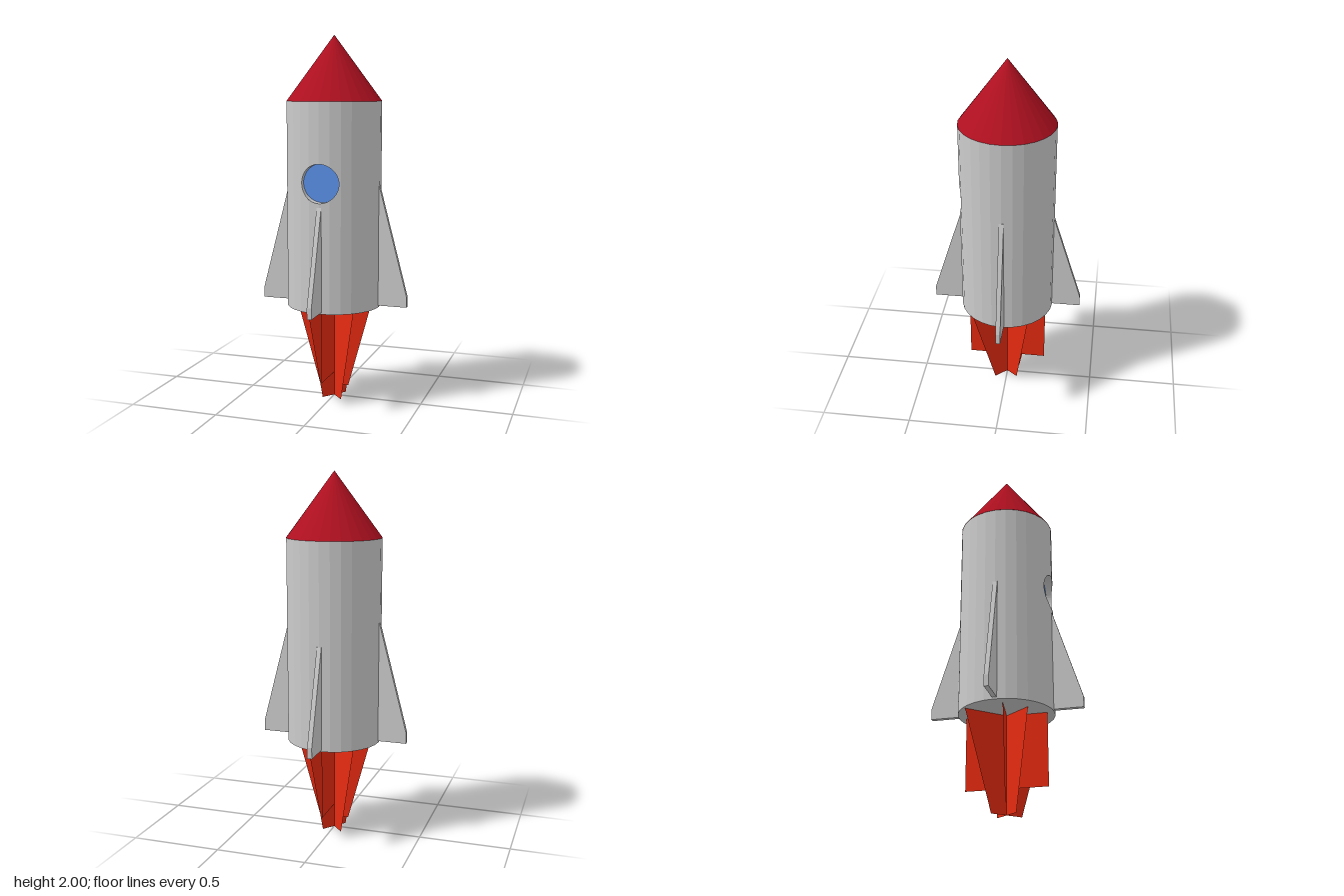
import * as THREE from 'three';

const R = 0.258, BOTTOM = 0.53, TOP = 1.65, SIDES = 28;
const STEP = (Math.PI * 2) / SIDES;
const HOLE_Y = 1.225, HOLE_R = 0.103, GLASS_Z = 0.206;

const paint = (color, side = THREE.FrontSide) =>
  new THREE.MeshStandardMaterial({ color, side, flatShading: true });

function add(parent, name, geometry, material) {
  const mesh = new THREE.Mesh(geometry, material);
  mesh.name = name;
  parent.add(mesh);
  return mesh;
}

// Depth of the faceted hull's front at a given x
function hullZ(x) {
  const k = Math.min(Math.floor(Math.asin(Math.abs(x) / R) / STEP + 1e-6), SIDES / 4 - 1);
  const x0 = R * Math.sin(k * STEP), x1 = R * Math.sin((k + 1) * STEP);
  const z0 = R * Math.cos(k * STEP), z1 = R * Math.cos((k + 1) * STEP);
  return z0 + ((z1 - z0) * (Math.abs(x) - x0)) / (x1 - x0);
}

// Flat quads, corners given counter-clockwise
function quadGeometry(quads) {
  const p = [];
  for (const [a, b, c, d] of quads) p.push(...a, ...b, ...c, ...a, ...c, ...d);
  const g = new THREE.BufferGeometry();
  g.setAttribute('position', new THREE.Float32BufferAttribute(p, 3));
  g.computeVertexNormals();
  return g;
}

// Front four facets of the hull in columns, split above and below the round opening
function frontPanel() {
  const xs = [];
  for (let i = -2; i <= 2; i++) xs.push(R * Math.sin(i * STEP));
  for (let i = 0; i <= 24; i++) xs.push(-HOLE_R * Math.cos((i / 24) * Math.PI));
  xs.sort((a, b) => a - b);
  const h = (x) => Math.sqrt(Math.max(0, HOLE_R ** 2 - x * x));
  const quads = [];
  for (let i = 0; i < xs.length - 1; i++) {
    const a = xs[i], b = xs[i + 1];
    if (b - a < 1e-6) continue;
    const at = (x, y) => [x, y, hullZ(x)];
    quads.push([at(a, BOTTOM), at(b, BOTTOM), at(b, HOLE_Y - h(b)), at(a, HOLE_Y - h(a))]);
    quads.push([at(a, HOLE_Y + h(a)), at(b, HOLE_Y + h(b)), at(b, TOP), at(a, TOP)]);
  }
  return quadGeometry(quads);
}

// Wall running from the opening back to the glass
function portholeWall() {
  const quads = [], n = 48;
  const point = (i, inner) => {
    const t = (i / n) * Math.PI * 2, x = HOLE_R * Math.cos(t);
    return [x, HOLE_Y + HOLE_R * Math.sin(t), inner ? GLASS_Z : hullZ(x)];
  };
  for (let i = 0; i < n; i++)
    quads.push([point(i, false), point(i, true), point(i + 1, true), point(i + 1, false)]);
  return quadGeometry(quads);
}

function finGeometry(tipY) {
  const shape = new THREE.Shape([
    [0.24, 0.54], [0.415, 0.54], [0.415, 0.6], [0.258, tipY], [0.24, tipY],
  ].map(([x, y]) => new THREE.Vector2(x, y)));
  return new THREE.ExtrudeGeometry(shape, { depth: 0.025, bevelEnabled: false })
    .translate(0, 0, -0.0125);
}

export function createModel() {
  const model = new THREE.Group();
  model.name = 'rocket';
  const grey = paint(0xcccccc);
  const greyBoth = paint(0xcccccc, THREE.DoubleSide);

  // Hull: faceted tube, pierced front and closed underside
  const hull = new THREE.Group();
  hull.name = 'hull';
  model.add(hull);
  add(hull, 'hullTube', new THREE.CylinderGeometry(R, R, TOP - BOTTOM, SIDES - 4, 1, true,
    2 * STEP, (SIDES - 4) * STEP).translate(0, (TOP + BOTTOM) / 2, 0), greyBoth);
  add(hull, 'hullFront', frontPanel(), greyBoth);
  add(hull, 'hullBase', new THREE.CircleGeometry(R, SIDES)
    .rotateX(Math.PI / 2).translate(0, BOTTOM, 0), greyBoth);

  // Nose cone
  add(model, 'noseCone', new THREE.ConeGeometry(R + 0.001, 2 - TOP, SIDES)
    .translate(0, (2 + TOP) / 2, 0), paint(0xb01020));

  // Recessed round window
  add(model, 'portholeWall', portholeWall(), greyBoth);
  add(model, 'portholeGlass', new THREE.CircleGeometry(HOLE_R, 48)
    .translate(0, HOLE_Y, GLASS_Z), paint(0x5b90e8, THREE.DoubleSide));

  // Four fins, the side pair taller than the front and back pair
  for (let i = 0; i < 4; i++) {
    const fin = add(model, 'fin', finGeometry(i % 2 ? 1.1 : 1.2), grey);
    fin.rotation.y = (i * Math.PI) / 2;
  }

  // Exhaust flame: crossed flat blades [direction x, z, half width top, bottom, lowest y]
  const flame = new THREE.Group();
  flame.name = 'flame';
  model.add(flame);
  const fire = paint(0xe62a10, THREE.DoubleSide);
  const blades = [
    [0, 1, 0.22, 0.22, 0.135],
    [0.205, -0.03, 0.207, 0.08, 0.06],
    [0.166, 0.18, 0.245, 0.089, 0],
    [0.11, -0.14, 0.178, 0.078, 0],
  ];
  for (const [dx, dz, top, low, y] of blades) {
    const blade = add(flame, 'flameBlade', quadGeometry([
      [[-low, y, 0], [low, y, 0], [top, BOTTOM, 0], [-top, BOTTOM, 0]],
    ]), fire);
    blade.rotation.y = Math.atan2(-dz, dx);
  }
  return model;
}
